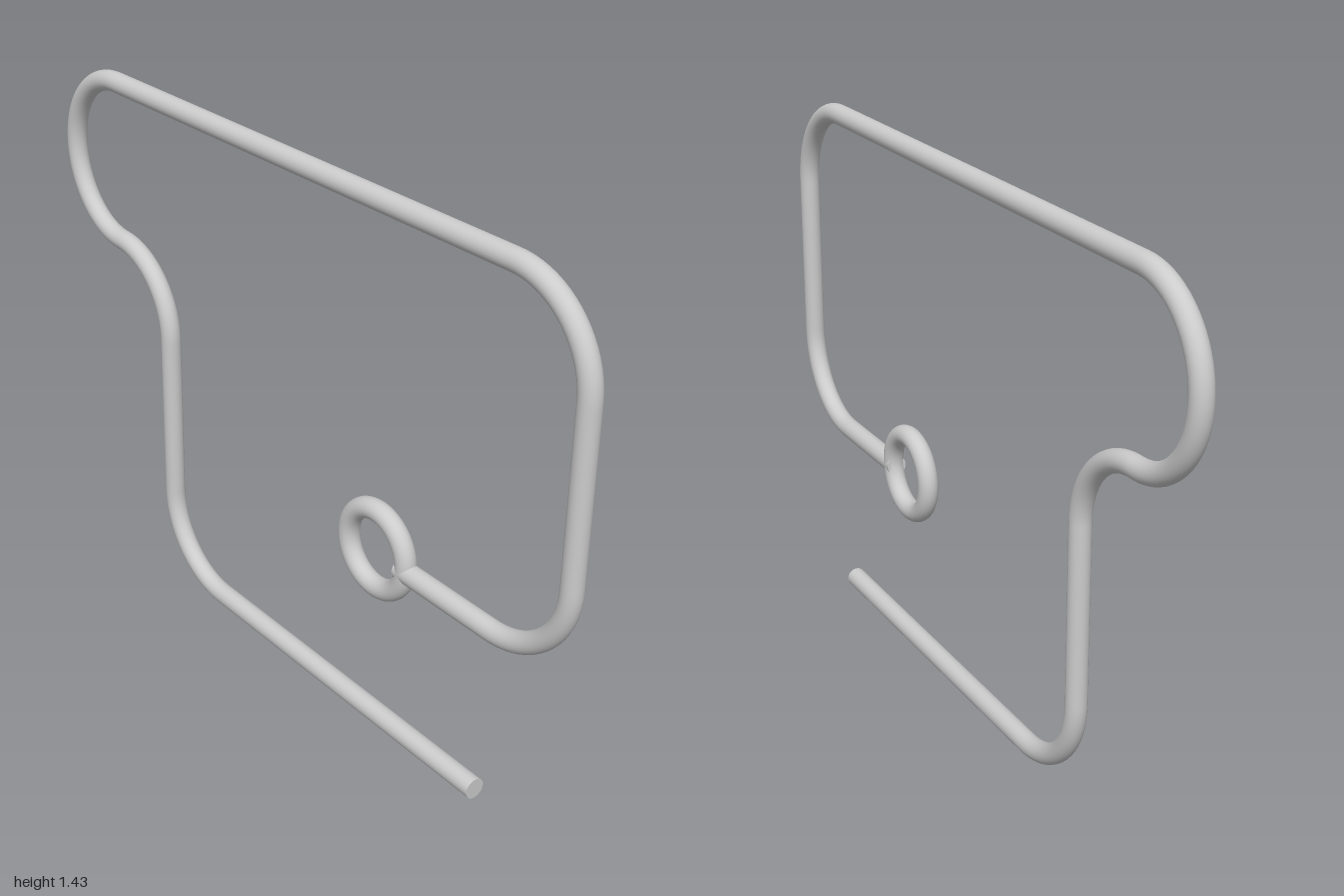
import * as THREE from 'three';

const R = 0.027; // wire radius
const material = new THREE.MeshStandardMaterial({ color: 0xcccccc });

export function createModel() {
  const group = new THREE.Group();
  const add = (name, geometry, x = 0, y = 0) => {
    const mesh = new THREE.Mesh(geometry, material);
    mesh.name = name;
    mesh.position.set(x, y, 0);
    group.add(mesh);
  };

  // Centre line: straight runs joined by rounded quarter bends
  const path = new THREE.CurvePath();
  const start = new THREE.Vector3(0.715, 0.03, 0);
  let pen = start;
  const line = (x, y) => {
    const to = new THREE.Vector3(x, y, 0);
    path.add(new THREE.LineCurve3(pen, to));
    pen = to;
  };
  const bend = (cx, cy, x, y) => {
    const corner = new THREE.Vector3(cx, cy, 0), to = new THREE.Vector3(x, y, 0);
    path.add(new THREE.CubicBezierCurve3(pen,
      pen.clone().lerp(corner, 0.5523), to.clone().lerp(corner, 0.5523), to));
    pen = to;
  };
  line(-0.315, 0.036);
  bend(-0.543, 0.037, -0.543, 0.265);
  line(-0.539, 0.735);
  bend(-0.539, 0.953, -0.757, 0.953);
  bend(-0.973, 0.953, -0.973, 1.174);
  bend(-0.973, 1.394, -0.753, 1.395);
  line(0.74, 1.403);
  bend(0.968, 1.403, 0.968, 1.175);
  line(0.966, 0.73);
  bend(0.966, 0.5, 0.735, 0.5);
  line(0.42, 0.502);
  add('bentWire', new THREE.TubeGeometry(path, 300, R, 24, false));

  // Flat ends of the wire
  add('outerEnd', new THREE.CircleGeometry(R, 24).rotateY(Math.PI / 2), start.x, start.y);
  add('innerEnd', new THREE.CircleGeometry(R, 24).rotateY(-Math.PI / 2), pen.x, pen.y);

  // Small closed eye at the inner end
  add('eyeRing', new THREE.TorusGeometry(0.106, R, 24, 64), 0.334, 0.513);
  return group;
}
